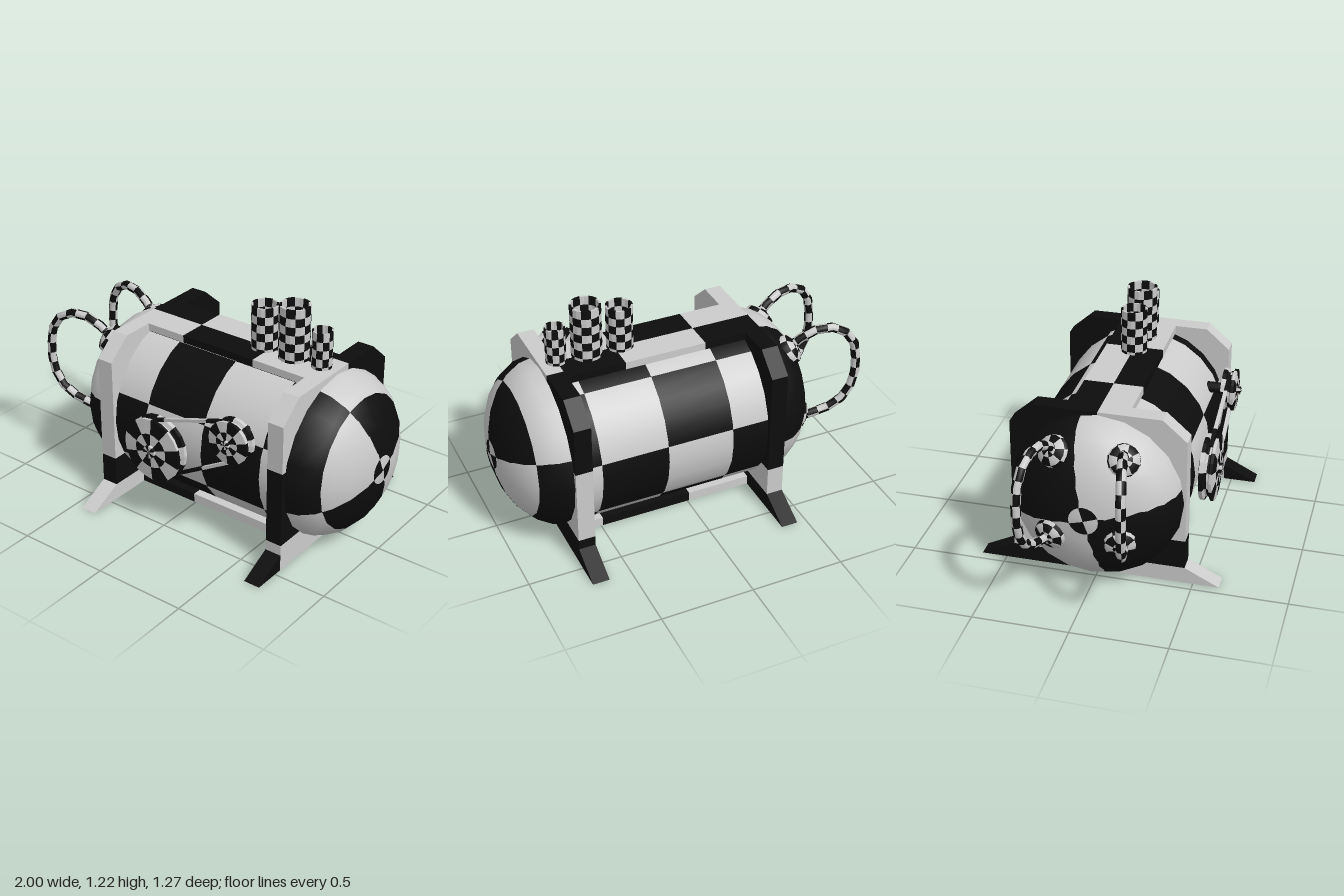
import * as THREE from 'three';

const light = new THREE.MeshStandardMaterial({ name: 'lightGrey', color: 0xcccccc });
const dark = new THREE.MeshStandardMaterial({ name: 'black', color: 0x0d0d0d });
const V2 = (x, y) => new THREE.Vector2(x, y);
const deg = (list) => list.map((a) => a / 360);
const steps = (n) => Array.from({ length: n - 1 }, (_, i) => (i + 1) / n);

// vertex layout used while cutting: x y z, normal, u v
const X = 0, Y = 1, Z = 2, U = 6, V = 7;

// cuts triangles in two along the level "vertex[k] = c"
function split(tris, k, c) {
  const out = [];
  for (const t of tris) {
    for (const side of [1, -1]) {
      const poly = [];
      t.forEach((a, i) => {
        const b = t[(i + 1) % 3];
        const da = side * (a[k] - c), db = side * (b[k] - c);
        if (da >= 0) poly.push(a);
        if (da * db < 0) poly.push(a.map((n, j) => n + (b[j] - n) * da / (da - db)));
      });
      if (poly.some((p) => side * (p[k] - c) > 1e-6)) {
        for (let i = 2; i < poly.length; i++) out.push([poly[0], poly[i - 1], poly[i]]);
      }
    }
  }
  return out;
}

// checkered mesh: cuts = [[coordinate, levels], ...]; "first" colours the lowest cell
function checker(name, source, cuts, first = light, flat = false) {
  const g = source.index ? source.toNonIndexed() : source;
  if (flat) g.computeVertexNormals();
  const { position: p, normal: n, uv } = g.attributes;
  let tris = [];
  for (let i = 0; i < p.count; i += 3) {
    tris.push([i, i + 1, i + 2].map((j) => [
      p.getX(j), p.getY(j), p.getZ(j), n.getX(j), n.getY(j), n.getZ(j), uv.getX(j), uv.getY(j)]));
  }
  for (const [k, levels] of cuts) for (const c of levels) tris = split(tris, k, c);
  const cells = [[], []];
  for (const t of tris) {
    let count = 0;
    for (const [k, levels] of cuts) {
      const mid = (t[0][k] + t[1][k] + t[2][k]) / 3;
      count += levels.filter((c) => mid > c).length;
    }
    cells[count % 2].push(...t);
  }
  const all = [...cells[0], ...cells[1]];
  const geo = new THREE.BufferGeometry();
  geo.setAttribute('position', new THREE.Float32BufferAttribute(all.flatMap((v) => v.slice(0, 3)), 3));
  geo.setAttribute('normal', new THREE.Float32BufferAttribute(all.flatMap((v) => v.slice(3, 6)), 3));
  geo.addGroup(0, cells[0].length, 0);
  geo.addGroup(cells[0].length, cells[1].length, 1);
  const mesh = new THREE.Mesh(geo, first === light ? [light, dark] : [dark, light]);
  mesh.name = name;
  return mesh;
}

export function createModel() {
  const model = new THREE.Group();
  model.name = 'boiler';
  const add = (mesh, x = 0, y = 0, z = 0) => {
    mesh.position.set(x, y, z);
    model.add(mesh);
    return mesh;
  };
  const CY = 0.47, R = 0.445;

  // tank body along x
  const body = checker('tankBody',
    new THREE.LatheGeometry([V2(0.44, -0.45), V2(0.44, 0.7)], 24),
    [[Y, [-0.16, 0.2, 0.56]], [U, deg([28, 77, 93.5, 142.5, 191.5, 240.5, 289.5, 338.5])]], dark);
  body.rotation.z = -Math.PI / 2;
  add(body, 0, CY);

  // domed ends
  const dome = (depth) => new THREE.LatheGeometry(Array.from({ length: 7 }, (_, i) => {
    const t = i * Math.PI / 12;
    return V2(R * Math.cos(t), depth * Math.sin(t));
  }), 20);
  const leftDome = checker('leftDome', dome(0.31),
    [[U, deg([20, 110, 200, 290])], [Y, [0.178, 0.303]]], dark);
  leftDome.rotation.z = -Math.PI / 2;
  add(leftDome, 0.69, CY);
  const rightDome = checker('rightDome', dome(0.28),
    [[U, deg([11, 101, 191, 281])], [Y, [0.2737]]], dark);
  rightDome.rotation.z = Math.PI / 2;
  add(rightDome, -0.45, CY);

  // upright frames with splayed feet
  const half = [[0.635, 0], [0.455, 0.09], [0.455, 0.82], [0.33, 0.93]];
  const outline = [...half, ...half.map(([z, y]) => [-z, y]).reverse()];
  const frame = (name, x, cuts, first) => {
    const geo = new THREE.ExtrudeGeometry(new THREE.Shape(outline.map(([z, y]) => V2(z, y))),
      { depth: 0.09, bevelEnabled: false });
    const mesh = checker(name, geo, cuts, first);
    mesh.rotation.y = -Math.PI / 2;
    add(mesh, x);
  };
  frame('leftFrame', 0.71, [[X, [-0.1, 0.456]], [Y, [0.145, 0.56]]], dark);
  frame('rightFrame', -0.36, [[X, [0]], [Y, [0.09, 0.25]]], dark);

  // plates joining the frames
  add(checker('topPlate', new THREE.BoxGeometry(0.98, 0.04, 0.31),
    [[X, [-0.26, 0.18]], [Z, [0]]], dark), 0.13, 0.91);
  add(checker('bottomPlate', new THREE.BoxGeometry(0.98, 0.05, 0.46),
    [[X, [-0.14, 0.36]], [Z, [0]]], light), 0.13, 0.026);

  // three open chimney pipes
  for (const [x, r, top] of [[0.275, 0.07, 1.17], [0.455, 0.08, 1.22], [0.62, 0.053, 1.13]]) {
    const h = top - 0.9, rows = Math.round(h / 0.047);
    const geo = new THREE.LatheGeometry(
      [V2(r, 0), V2(r, h), V2(r * 0.86, h), V2(r * 0.86, 0)], 20);
    add(checker('chimney', geo, [[U, steps(10)], [Y, steps(rows).map((s) => s * h)]], dark, true),
      x, 0.9, 0.005);
  }

  // grooved pulleys on axles
  const pulley = (name, x, y, r) => {
    const profile = [[0, 0], [r, 0], [r, 0.02], [r * 0.88, 0.028], [r * 0.88, 0.047], [r, 0.055],
      [r, 0.07], [r * 0.55, 0.078], [r * 0.2, 0.08], [r * 0.2, 0.095], [0, 0.095]];
    const mesh = checker(name, new THREE.LatheGeometry(profile.map(([a, b]) => V2(a, b)), 20),
      [[U, steps(10)], [V, [0.35, 0.7]]], light, true);
    mesh.rotation.x = Math.PI / 2;
    add(mesh, x, y, 0.465);
    const axle = new THREE.Mesh(new THREE.CylinderGeometry(0.03, 0.03, 0.1, 12), dark);
    axle.name = 'axle';
    axle.rotation.x = Math.PI / 2;
    add(axle, x, y, 0.425);
  };
  pulley('largePulley', -0.04, 0.46, 0.175);
  pulley('smallPulley', 0.44, 0.675, 0.115);

  // drive belt: two straight runs tangent to the pulley grooves
  const a = V2(-0.04, 0.46), b = V2(0.44, 0.675), ra = 0.157, rb = 0.103;
  const aim = Math.atan2(b.y - a.y, b.x - a.x);
  const spread = Math.acos((ra - rb) / a.distanceTo(b));
  for (const s of [1, -1]) {
    const n = V2(Math.cos(aim + s * spread), Math.sin(aim + s * spread));
    const from = a.clone().addScaledVector(n, ra), to = b.clone().addScaledVector(n, rb);
    const len = from.distanceTo(to);
    const run = checker('belt', new THREE.BoxGeometry(len, 0.016, 0.02),
      [[X, s > 0 ? [-0.14, 0.14] : [0]]], dark);
    run.rotation.z = Math.atan2(to.y - from.y, to.x - from.x);
    add(run, (from.x + to.x) / 2, (from.y + to.y) / 2, 0.5025);
  }

  // looped handles and their mounts on the right dome
  const loop = [[-0.6, 0.78], [-0.67, 0.84], [-0.76, 0.88], [-0.87, 0.87], [-0.95, 0.79],
    [-0.975, 0.67], [-0.97, 0.54], [-0.92, 0.43], [-0.83, 0.37], [-0.67, 0.33]];
  for (const s of [1, -1]) {
    const curve = new THREE.CatmullRomCurve3(loop.map(([x, y]) =>
      new THREE.Vector3(x, y, s * (0.18 - 0.21 * (x + 0.62)))));
    add(checker('handle', new THREE.TubeGeometry(curve, 12, 0.025, 8),
      [[U, steps(18)], [V, steps(4)]], light));
    for (const dy of [0.31, -0.12]) {
      const r = 0.085, z = s * 0.18;
      const x = -0.28 * Math.sqrt(1 - (dy * dy + z * z) / (R * R));
      const geo = new THREE.LatheGeometry(
        [V2(r, -0.02), V2(r * 0.92, 0.015), V2(r * 0.45, 0.035), V2(0, 0.04)], 16);
      const mount = checker('handleMount', geo, [[U, steps(8)], [V, [0.33, 0.67]]], dark);
      const normal = new THREE.Vector3(x / 0.0784, dy / (R * R), z / (R * R)).normalize();
      mount.quaternion.setFromUnitVectors(new THREE.Vector3(0, 1, 0), normal);
      add(mount, x - 0.45, CY + dy, z);
    }
  }
  return model;
}
